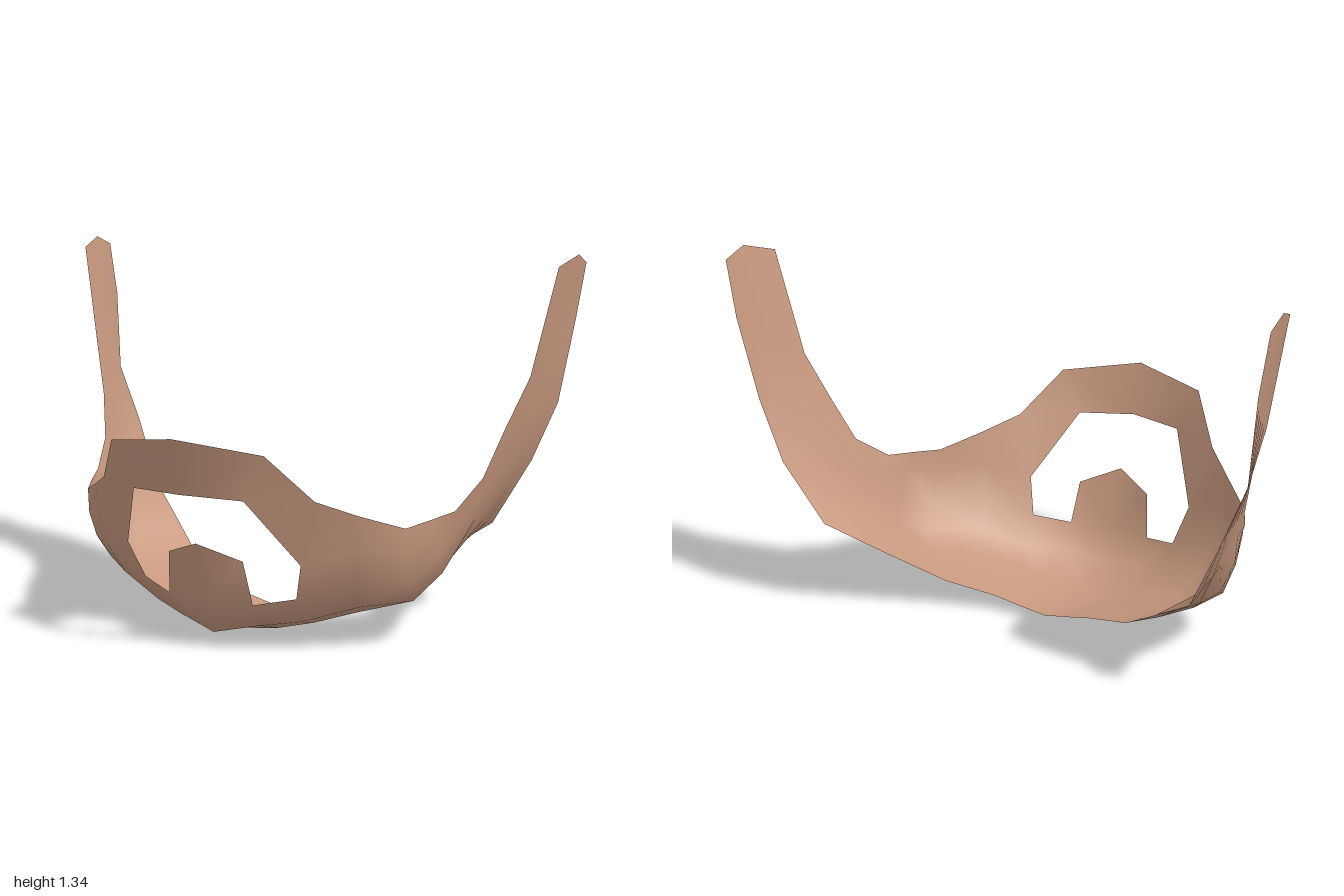
import * as THREE from 'three';
import { mergeVertices } from 'three/addons/utils/BufferGeometryUtils.js';

const ROWS = 7;

// Resample a short polyline so every column has the same number of rows
function column(points) {
  const out = [];
  for (let r = 0; r < ROWS; r++) {
    const t = (r / (ROWS - 1)) * (points.length - 1);
    const i = Math.min(Math.floor(t), points.length - 2);
    out.push(points[i].map((v, k) => v + (points[i + 1][k] - v) * (t - i)));
  }
  return out;
}

// Skin neighbouring columns (outer to centre, top to bottom) on both sides
function skin(columns, out) {
  const mirror = (p) => [-p[0], p[1], p[2]];
  for (let c = 0; c < columns.length - 1; c++) {
    for (let r = 0; r < columns[c].length - 1; r++) {
      const a = columns[c][r], b = columns[c + 1][r];
      const d = columns[c][r + 1], e = columns[c + 1][r + 1];
      for (const tri of [[a, b, e], [a, e, d]]) {
        out.push(...tri.flat());
        out.push(...[tri[0], tri[2], tri[1]].map(mirror).flat());
      }
    }
  }
}

export function createModel() {
  const group = new THREE.Group();
  group.name = 'beard';
  const hair = new THREE.MeshStandardMaterial({ color: 0xc8997f, side: THREE.DoubleSide });
  hair.name = 'hair brown';

  // Sideburn: front edge to back edge
  const sideburn = [
    [[0.97, 1.31, -0.37], [1, 1.345, -0.5], [1, 1.31, -0.595]],
    [[0.895, 0.93, -0.33], [0.97, 1.11, -0.595]],
    [[0.83, 0.75, -0.27], [0.93, 0.81, -0.55]],
    [[0.78, 0.585, -0.2], [0.84, 0.59, -0.55]],
    [[0.73, 0.49, -0.07], [0.735, 0.45, -0.2], [0.735, 0.4, -0.34], [0.72, 0.355, -0.485]],
  ].map(column);

  // Cheek and jaw: upper edge, round the jawline, to the throat edge
  const jaw = [
    [[0.685, 0.478, 0.035], [0.69, 0.42, 0], [0.69, 0.34, -0.05], [0.67, 0.25, -0.12],
      [0.63, 0.23, -0.2], [0.59, 0.23, -0.28], [0.545, 0.235, -0.365]],
    [[0.635, 0.465, 0.14], [0.645, 0.37, 0.12], [0.64, 0.27, 0.08], [0.62, 0.18, 0.02],
      [0.55, 0.145, -0.07], [0.46, 0.125, -0.16], [0.37, 0.115, -0.24]],
    [[0.52, 0.52, 0.26], [0.51, 0.4, 0.25], [0.5, 0.29, 0.22], [0.47, 0.17, 0.15],
      [0.42, 0.115, 0.04], [0.35, 0.095, -0.09], [0.285, 0.09, -0.205]],
    [[0.41, 0.58, 0.37], [0.34, 0.345, 0.33], [0.3, 0.21, 0.28], [0.29, 0.11, 0.215],
      [0.28, 0.075, 0.11], [0.25, 0.06, -0.04], [0.2, 0.065, -0.17]],
  ];
  const mouthSide = jaw[3];

  // Chin below the mouth opening
  const chin = [
    mouthSide.slice(2),
    [[0.165, 0.185, 0.34], [0.16, 0.095, 0.28], [0.15, 0.04, 0.12], [0.13, 0.03, -0.01], [0.1, 0.045, -0.165]],
    [[0, 0.19, 0.385], [0, 0.06, 0.32], [0, 0.02, 0.13], [0, 0.005, 0], [0, 0.025, -0.155]],
  ];

  // Moustache above the opening and tuft under the lip
  const moustache = [
    mouthSide.slice(0, 2),
    [[0.29, 0.745, 0.5], [0.21, 0.585, 0.49]],
    [[0, 0.79, 0.595], [0, 0.595, 0.545]],
  ];
  const tuft = [
    [[0.145, 0.345, 0.375], chin[1][0]],
    [[0, 0.405, 0.44], chin[2][0]],
  ];

  // Weld all parts so the shading runs smoothly across the seams
  const positions = [];
  for (const part of [[...sideburn, ...jaw], chin, moustache, tuft]) skin(part, positions);
  let geometry = new THREE.BufferGeometry();
  geometry.setAttribute('position', new THREE.Float32BufferAttribute(positions, 3));
  geometry = mergeVertices(geometry, 1e-4);
  geometry.computeVertexNormals();

  const mesh = new THREE.Mesh(geometry, hair);
  mesh.name = 'beardAndMoustache';
  group.add(mesh);
  return group;
}
